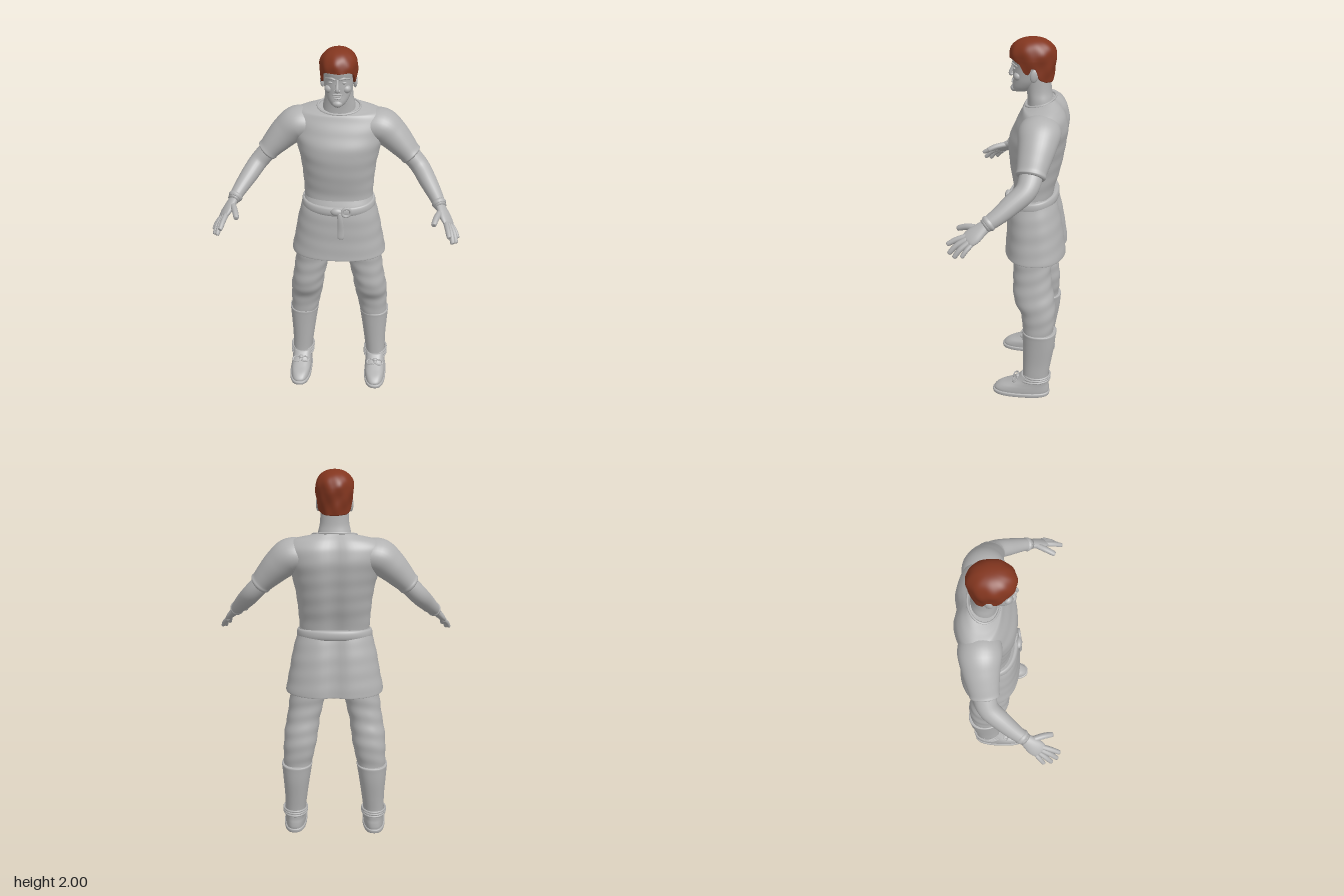
import * as THREE from 'three';

const cloth = new THREE.MeshStandardMaterial({ color: 0xb2b2b2, side: THREE.DoubleSide });
cloth.name = 'plain grey';
const hairMat = new THREE.MeshStandardMaterial({ color: 0x83361f, side: THREE.DoubleSide });
hairMat.name = 'auburn';

const V = (x, y, z) => new THREE.Vector3(x, y, z);

function add(group, name, geometry, material = cloth) {
  const m = new THREE.Mesh(geometry, material);
  m.name = name;
  group.add(m);
  return m;
}

// Smooth interpolation through rows of numbers, v in 0..1
function sample(rows, v) {
  const n = rows.length - 1, t = v * n, i = Math.min(Math.floor(t), n - 1), f = t - i;
  const row = k => rows[Math.max(0, Math.min(n, k))];
  return rows[0].map((_, c) => {
    const p0 = row(i - 1)[c], p1 = row(i)[c], p2 = row(i + 1)[c], p3 = row(i + 2)[c];
    return p1 + 0.5 * f * (p2 - p0 + f * (2 * p0 - 5 * p1 + 4 * p2 - p3 + f * (3 * (p1 - p2) + p3 - p0)));
  });
}

// Skin over closed rings; at(v, a) gives the surface point
function skin(at, rings, sides, cap = true) {
  const pos = [], idx = [];
  for (let i = 0; i <= rings; i++)
    for (let j = 0; j < sides; j++) pos.push(...at(i / rings, (j / sides) * Math.PI * 2).toArray());
  for (let i = 0; i < rings; i++)
    for (let j = 0; j < sides; j++) {
      const k = (j + 1) % sides, a = i * sides + j, b = i * sides + k;
      idx.push(a, b, b + sides, a, b + sides, a + sides);
    }
  if (cap) for (const end of [0, rings]) {
    const c = V(0, 0, 0), centre = pos.length / 3;
    for (let j = 0; j < sides; j++) c.add(V(...pos.slice((end * sides + j) * 3, (end * sides + j) * 3 + 3)));
    pos.push(...c.divideScalar(sides).toArray());
    for (let j = 0; j < sides; j++) {
      const a = end * sides + j, b = end * sides + (j + 1) % sides;
      idx.push(centre, ...(end ? [a, b] : [b, a]));
    }
  }
  const g = new THREE.BufferGeometry();
  g.setAttribute('position', new THREE.Float32BufferAttribute(pos, 3));
  g.setIndex(idx);
  g.computeVertexNormals();
  return g;
}

// Upright form, rows: [y, centre x, front z, back z, half width, front dip]
function upright(rows, { rings = 40, sides = 48, n = 2.2, fold = 0, groove = 0, cap = true } = {}) {
  const pw = s => Math.sign(s) * Math.pow(Math.abs(s), 2 / n);
  return skin((v, a) => {
    const [y, cx, zf, zb, rx, dip = 0] = sample(rows, v), c = Math.cos(a);
    const k = 1 + fold * Math.sin(y * 75 + 2.5 * Math.sin(a + 1));
    const x = rx * pw(Math.sin(a)) * k;
    const dent = c < 0 ? groove * -c * Math.exp(-((x / 0.05) ** 2)) : 0;
    return V(cx + x, y - dip * (1 + c) / 2, (zf + zb) / 2 + (zf - zb) / 2 * pw(c) * k + dent);
  }, rings, sides, cap);
}

// Form along a path, rows: [x, y, z, radius along side, radius across]
function limb(rows, side = V(0, 0, 1), rings = 24, sides = 24) {
  return skin((v, a) => {
    const [x, y, z, ra, rb] = sample(rows, v);
    const p = sample(rows, Math.max(0, v - 0.02)), q = sample(rows, Math.min(1, v + 0.02));
    const T = V(q[0] - p[0], q[1] - p[1], q[2] - p[2]).normalize();
    const S = side.clone().addScaledVector(T, -side.dot(T)).normalize();
    const B = S.clone().cross(T);
    return V(x, y, z).addScaledVector(S, ra * Math.sin(a)).addScaledVector(B, rb * Math.cos(a));
  }, rings, sides);
}

function blob(group, name, p, s, mat) {
  const m = add(group, name, new THREE.SphereGeometry(1, 20, 14), mat);
  m.position.set(...p);
  m.scale.set(...s);
  return m;
}

// Closed cord around an ellipse, lower at the front by dip
function cord(y, cx, zf, zb, rx, r, dip = 0) {
  const pts = [...Array(24).keys()].map(i => {
    const a = i / 24 * Math.PI * 2, c = Math.cos(a);
    return V(cx + rx * Math.sin(a), y - dip * (1 + c) / 2, (zf + zb) / 2 + (zf - zb) / 2 * c);
  });
  return new THREE.TubeGeometry(new THREE.CatmullRomCurve3(pts, true), 64, r, 8, true);
}

function buildSide() {
  const g = new THREE.Group();
  // Sleeve and arm
  add(g, 'sleeve', limb([[0.15, 1.575, -0.13, 0.1, 0.08], [0.22, 1.575, -0.13, 0.108, 0.09],
    [0.28, 1.53, -0.125, 0.096, 0.083], [0.335, 1.475, -0.115, 0.083, 0.07],
    [0.37, 1.437, -0.108, 0.075, 0.06], [0.384, 1.422, -0.106, 0.075, 0.06], [0.39, 1.416, -0.105, 0.066, 0.052]], V(0, 0, 1), 36, 36));
  add(g, 'forearm', limb([[0.34, 1.46, -0.11, 0.055, 0.05], [0.39, 1.41, -0.105, 0.058, 0.05],
    [0.435, 1.36, -0.085, 0.054, 0.049], [0.475, 1.31, -0.025, 0.05, 0.046],
    [0.515, 1.26, 0.04, 0.042, 0.038], [0.545, 1.22, 0.1, 0.034, 0.03]]));
  add(g, 'wristband', limb([[0.53, 1.24, 0.07, 0.036, 0.034], [0.535, 1.233, 0.08, 0.042, 0.038], [0.54, 1.226, 0.09, 0.036, 0.034]], V(0, 0, 1), 8));
  // Hand
  const across = V(0.035, -0.025, -0.03).normalize();
  add(g, 'palm', limb([[0.535, 1.23, 0.08, 0.028, 0.024], [0.555, 1.205, 0.118, 0.038, 0.022],
    [0.573, 1.18, 0.15, 0.045, 0.02], [0.586, 1.163, 0.175, 0.04, 0.014], [0.59, 1.158, 0.182, 0.026, 0.007]], across, 16));
  const fingers = [
    [[0.568, 1.178, 0.178], [0.578, 1.16, 0.23], [0.586, 1.137, 0.272]],
    [[0.581, 1.167, 0.178], [0.597, 1.137, 0.228], [0.606, 1.1, 0.262]],
    [[0.593, 1.157, 0.168], [0.614, 1.125, 0.208], [0.624, 1.089, 0.235]],
    [[0.6, 1.15, 0.152], [0.622, 1.125, 0.177], [0.635, 1.097, 0.197]],
    [[0.548, 1.21, 0.12], [0.522, 1.203, 0.185], [0.507, 1.185, 0.232]]];
  fingers.forEach(([a, b, c], i) => {
    const r = i === 4 ? 0.016 : i === 3 ? 0.0115 : 0.0135;
    const tip = c.map((x, k) => x + (c[k] - b[k]) * 0.08);
    add(g, i === 4 ? 'thumb' : 'finger', limb([[...a, r, r], [...b, r, r], [...c, r * 0.85, r * 0.85], [...tip, r * 0.3, r * 0.3]], across, 12, 12));
  });
  // Trouser leg and boot
  add(g, 'trouserLeg', upright([[0.37, 0.205, -0.06, -0.22, 0.074], [0.44, 0.2, -0.05, -0.222, 0.08],
    [0.52, 0.19, -0.04, -0.228, 0.088], [0.6, 0.181, -0.003, -0.222, 0.092], [0.67, 0.17, 0.006, -0.208, 0.09],
    [0.76, 0.153, 0.006, -0.198, 0.094], [0.86, 0.136, 0.008, -0.198, 0.098], [1.0, 0.105, 0.01, -0.2, 0.1]],
  { fold: 0.016, rings: 56 }));
  add(g, 'bootShaft', upright([[0.1, 0.22, -0.05, -0.2, 0.056], [0.14, 0.219, -0.055, -0.2, 0.058], [0.22, 0.214, -0.055, -0.212, 0.063],
    [0.32, 0.21, -0.053, -0.228, 0.073], [0.39, 0.207, -0.051, -0.234, 0.081], [0.413, 0.206, -0.05, -0.235, 0.084], [0.417, 0.206, -0.058, -0.228, 0.077]]));
  add(g, 'shoe', upright([[0.015, 0.222, 0.105, -0.2, 0.057], [0.035, 0.222, 0.107, -0.204, 0.059], [0.058, 0.221, 0.08, -0.203, 0.059],
    [0.078, 0.221, 0.03, -0.2, 0.057], [0.1, 0.22, -0.015, -0.2, 0.057], [0.13, 0.219, -0.048, -0.2, 0.058]], { n: 2.5 }));
  add(g, 'sole', upright([[0, 0.223, 0.1, -0.198, 0.056], [0.004, 0.223, 0.114, -0.205, 0.063], [0.02, 0.223, 0.117, -0.207, 0.064],
    [0.025, 0.223, 0.11, -0.2, 0.06]], { n: 2.6, rings: 12 }));
  for (const y of [0.108, 0.122, 0.136]) add(g, 'ankleLace', cord(y, 0.22, -0.032 - (y - 0.108), -0.207, 0.064, 0.006, 0.006));
  blob(g, 'laceKnot', [0.222, 0.108, -0.025], [0.014, 0.01, 0.012]);
  for (const s of [-1, 1]) {
    const loop = add(g, 'laceLoop', new THREE.TorusGeometry(0.016, 0.004, 6, 16));
    loop.position.set(0.222 + s * 0.025, 0.1, -0.012);
    loop.rotation.x = -1;
    loop.scale.x = 1.4;
  }
  // Face halves
  blob(g, 'ear', [0.083, 1.826, -0.09], [0.011, 0.034, 0.021]).rotation.set(-0.15, 0.3, 0);
  add(g, 'brow', limb([[0.008, 1.866, 0.026, 0.003, 0.004], [0.03, 1.873, 0.021, 0.006, 0.008], [0.06, 1.866, -0.004, 0.003, 0.004]], V(0, 1, 0), 10, 12));
  blob(g, 'eye', [0.032, 1.849, 0.012], [0.014, 0.007, 0.009]);
  blob(g, 'cheek', [0.043, 1.812, -0.004], [0.024, 0.022, 0.022]);
  blob(g, 'nostril', [0.01, 1.812, 0.03], [0.007, 0.006, 0.009]);
  return g;
}

export function createModel() {
  const model = new THREE.Group();
  model.name = 'standingMan';

  // Tunic
  add(model, 'tunicTop', upright([[1.14, 0, 0.02, -0.2, 0.182, 0], [1.22, 0, 0.018, -0.208, 0.186, 0], [1.3, 0, 0.032, -0.23, 0.192, 0],
    [1.39, 0, 0.043, -0.25, 0.203, 0], [1.48, 0, 0.043, -0.264, 0.224, 0], [1.56, 0, 0.012, -0.27, 0.25, 0],
    [1.62, 0, -0.015, -0.258, 0.255, 0.002], [1.662, 0, -0.03, -0.235, 0.22, 0.012], [1.688, 0, -0.037, -0.21, 0.16, 0.032],
    [1.703, 0, -0.042, -0.193, 0.112, 0.045]], { rings: 64, sides: 64, fold: 0.005, groove: 0.018 }));
  add(model, 'collar', cord(1.703, 0, -0.04, -0.194, 0.112, 0.006, 0.045));
  add(model, 'tunicSkirt', upright([[0.87, 0, 0.05, -0.262, 0.246], [0.848, 0, 0.055, -0.268, 0.252], [0.843, 0, 0.063, -0.275, 0.26],
    [0.87, 0, 0.062, -0.273, 0.257], [0.95, 0, 0.056, -0.262, 0.241], [1.04, 0, 0.052, -0.247, 0.225],
    [1.12, 0, 0.045, -0.228, 0.205], [1.19, 0, 0.02, -0.205, 0.183]], { n: 2.4, rings: 48, sides: 64, fold: 0.004, groove: 0.02, cap: false }));

  // Belt with knot, ring and hanging end
  add(model, 'belt', upright([[1.143, 0, 0.03, -0.2, 0.18, 0.035], [1.147, 0, 0.046, -0.218, 0.196, 0.035], [1.168, 0, 0.052, -0.224, 0.2, 0.035],
    [1.192, 0, 0.046, -0.218, 0.195, 0.035], [1.196, 0, 0.03, -0.2, 0.18, 0.035]], { rings: 16, sides: 64 }));
  blob(model, 'beltKnot', [0.0, 1.142, 0.052], [0.034, 0.022, 0.018]);
  const ring = add(model, 'beltRing', new THREE.TorusGeometry(0.024, 0.008, 10, 28));
  ring.position.set(0.05, 1.142, 0.053);
  ring.rotation.y = 0.2;
  add(model, 'beltEnd', limb([[0.012, 1.14, 0.06, 0.012, 0.008], [0.018, 1.1, 0.064, 0.015, 0.008], [0.021, 1.04, 0.062, 0.018, 0.007],
    [0.021, 0.995, 0.064, 0.018, 0.007], [0.021, 0.985, 0.064, 0.014, 0.004]], V(1, 0, 0), 16, 16));

  // Head and neck
  add(model, 'neck', upright([[1.62, 0, -0.05, -0.19, 0.09], [1.69, 0, -0.05, -0.182, 0.084], [1.74, 0, -0.045, -0.172, 0.074], [1.82, 0, -0.04, -0.168, 0.07]], { rings: 16 }));
  add(model, 'head', upright([[1.725, 0, 0.012, -0.03, 0.02], [1.73, 0, 0.025, -0.055, 0.034], [1.752, 0, 0.028, -0.09, 0.052], [1.785, 0, 0.024, -0.13, 0.067],
    [1.82, 0, 0.024, -0.16, 0.074], [1.86, 0, 0.023, -0.175, 0.079], [1.91, 0, 0.03, -0.178, 0.084], [1.955, 0, 0, -0.15, 0.065], [1.98, 0, -0.05, -0.11, 0.03]]));
  add(model, 'nose', limb([[0, 1.868, 0.022, 0.006, 0.005], [0, 1.845, 0.028, 0.007, 0.008], [0, 1.822, 0.037, 0.009, 0.009],
    [0, 1.811, 0.036, 0.009, 0.009], [0, 1.805, 0.028, 0.004, 0.004]], V(1, 0, 0), 16, 14));
  blob(model, 'upperLip', [0, 1.779, 0.024], [0.022, 0.004, 0.008]);
  blob(model, 'lowerLip', [0, 1.77, 0.024], [0.018, 0.005, 0.008]);
  blob(model, 'moustache', [0, 1.789, 0.022], [0.026, 0.005, 0.007]);
  blob(model, 'chinBeard', [0, 1.74, 0.018], [0.026, 0.019, 0.02]);

  // Hair: hemline heights from brow, past the ear, to the nape
  const hem = [[0, 1.9], [0.2, 1.902], [0.33, 1.88], [0.4, 1.835], [0.46, 1.83], [0.5, 1.865], [0.56, 1.862], [0.62, 1.805], [0.75, 1.787], [1.01, 1.785]];
  const hemAt = a => {
    const t = Math.min(a, Math.PI * 2 - a) / Math.PI, i = hem.findIndex(h => h[0] > t);
    const [p, q] = [hem[i - 1], hem[i]];
    return p[1] + (q[1] - p[1]) * (t - p[0]) / (q[0] - p[0]);
  };
  add(model, 'hair', skin((v, a) => {
    const s = 1 - v, phi = Math.min(1, s / 0.6) * Math.PI / 2, low = Math.max(0, (s - 0.6) / 0.4);
    const y = low ? 1.915 + (hemAt(a) - 1.915) * Math.min(1, low * 1.1) : 1.915 + 0.085 * Math.cos(phi);
    let r = Math.pow(Math.sin(phi), 0.85) - Math.max(0, 1.9 - y) * 1.1;
    if (low > 0.95) r -= 0.12;
    r *= 1 + 0.014 * Math.sin(phi) * (Math.sin(9 * a + y * 40) + Math.sin(5 * a - y * 60));
    return V(0.097 * r * Math.sin(a), y, -0.076 + 0.118 * r * Math.cos(a));
  }, 40, 72), hairMat);

  // Arms, legs and face halves, mirrored
  const left = buildSide(), right = buildSide();
  left.name = 'leftSide';
  right.name = 'rightSide';
  right.scale.x = -1;
  model.add(left, right);
  return model;
}
